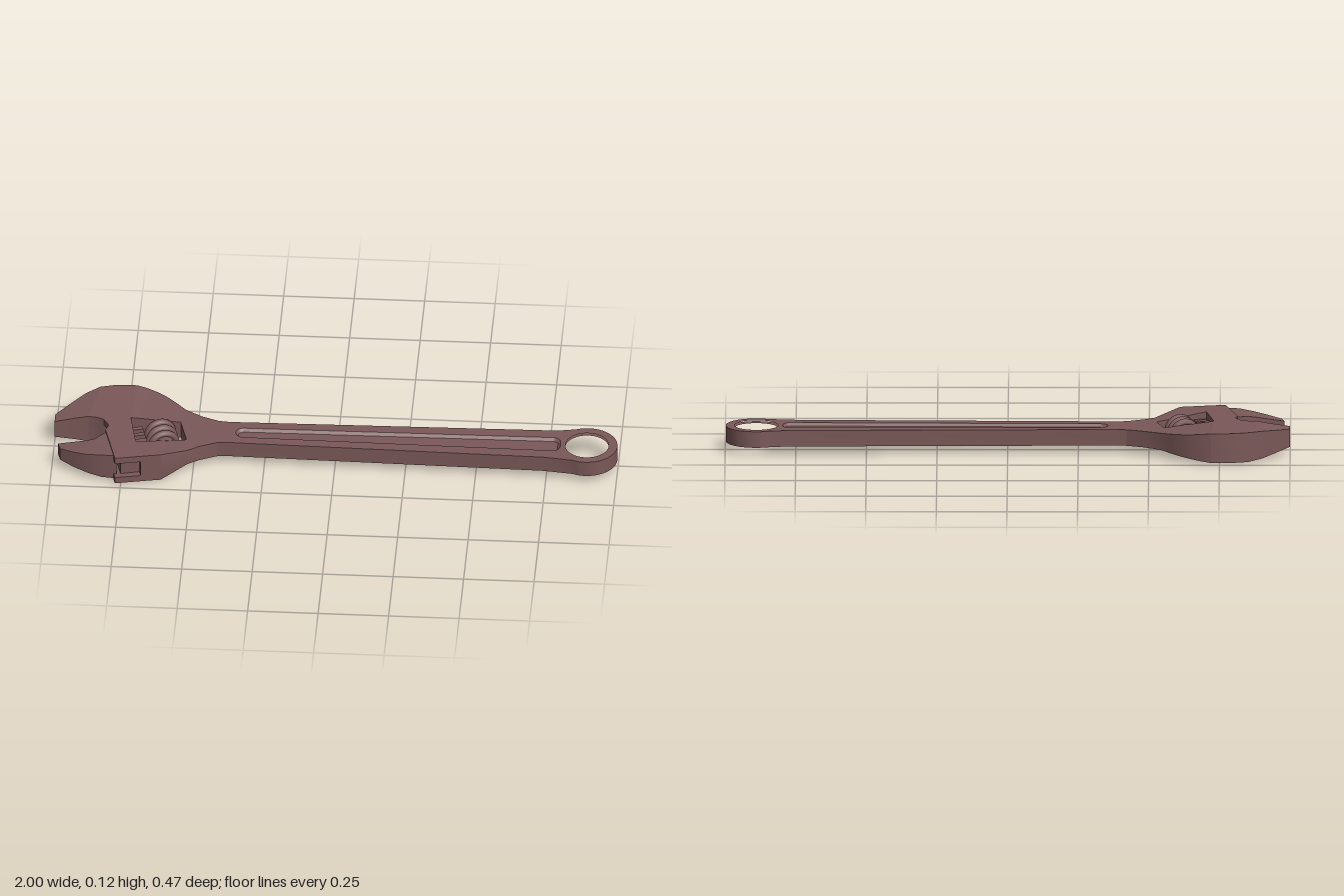
import * as THREE from 'three';
import { toCreasedNormals } from 'three/addons/utils/BufferGeometryUtils.js';

const MID = 0.058; // height of the middle plane
const THIN = 0.029, THICK = 0.053; // half thickness of handle and head
const material = new THREE.MeshStandardMaterial({ color: 0x7a5858 });
const openMaterial = new THREE.MeshStandardMaterial({ color: 0x7a5858, side: THREE.DoubleSide });

const toVec = ([x, z]) => new THREE.Vector2(x, -z);
const clamp = (t) => Math.min(1, Math.max(0, t));

function add(parent, name, geometry, mat = material) {
  const mesh = new THREE.Mesh(geometry, mat);
  mesh.name = name;
  parent.add(mesh);
  return mesh;
}

// Plate from a plan outline of [x, z]; bottom and top are functions of x and z
function plate(points, bottom, top, holes = []) {
  const shape = new THREE.Shape(points.map(toVec));
  holes.forEach((h) => shape.holes.push(new THREE.Path(h.map(toVec))));
  const geo = new THREE.ExtrudeGeometry(shape, { depth: 1, bevelEnabled: false });
  geo.rotateX(-Math.PI / 2);
  const p = geo.attributes.position;
  for (let i = 0; i < p.count; i++) {
    const f = p.getY(i) > 0.5 ? top : bottom;
    p.setY(i, f(p.getX(i), p.getZ(i)));
  }
  return toCreasedNormals(geo, 0.5);
}
const level = (y) => () => y;
const mirrored = (points, half, holes) =>
  plate(points, (x, z) => MID - half(x, z), (x, z) => MID + half(x, z), holes);

function arc(cx, cz, r, from, to, n) {
  return Array.from({ length: n + 1 }, (_, i) => {
    const a = from + ((to - from) * i) / n;
    return [cx + r * Math.cos(a), cz + r * Math.sin(a)];
  });
}

// Rounded groove outline on the handle
function grooveLoop(r) {
  const q = Math.PI / 2;
  return [
    ...arc(0.768, 0.018, r, 0, q, 5),
    ...arc(-0.328, 0.003, r, q, 2 * q, 5),
    ...arc(-0.328, 0.002, r, 2 * q, 3 * q, 5),
    ...arc(0.768, -0.008, r, 3 * q, 4 * q, 5),
  ];
}

function loft(loopA, yA, loopB, yB) {
  const pos = [], index = [], n = loopA.length;
  loopA.forEach(([x, z], i) => {
    pos.push(x, yA, z, loopB[i][0], yB, loopB[i][1]);
    const a = 2 * i, b = 2 * ((i + 1) % n);
    index.push(a, b, a + 1, b, b + 1, a + 1);
  });
  const geo = new THREE.BufferGeometry();
  geo.setAttribute('position', new THREE.Float32BufferAttribute(pos, 3));
  geo.setIndex(index);
  geo.computeVertexNormals();
  return geo;
}

function makeHandle() {
  const handle = new THREE.Group();
  handle.name = 'handle';
  const outline = [
    [-0.42, 0.072], [-0.42, -0.066], [-0.38, -0.062], [0.78, -0.081],
    ...arc(0.89, 0.005, 0.108, -2.0, 2.0, 32),
    [0.74, 0.09], [-0.38, 0.068],
  ];
  const eye = arc(0.89, 0.005, 0.077, 0, Math.PI * 2, 40).slice(0, -1);
  const floor = MID + THIN - 0.01;
  const outer = grooveLoop(0.028), inner = grooveLoop(0.018);
  add(handle, 'handleBody', plate(outline, level(MID - THIN), level(floor), [eye]));
  add(handle, 'handleRim', plate(outline, level(floor), level(MID + THIN), [eye, outer]));
  add(handle, 'grooveWall', loft(outer, MID + THIN, inner, floor), openMaterial);
  return handle;
}

function makeHead() {
  const head = new THREE.Group();
  head.name = 'head';
  const back = [[-0.85, -0.22], [-0.8, -0.234], [-0.75, -0.239], [-0.72, -0.237]];
  const throat = [[-0.825, -0.015], [-0.85, -0.026], [-0.88, -0.03]];

  // Cheeks above and below the jaw channel
  const cheek = [
    ...back, [-0.73, -0.032], [-0.703, 0.118], [-0.61, 0.197], [-0.65, 0.205],
    [-0.77, 0.23], [-0.815, 0.05], [-0.805, 0.02], ...throat,
  ];
  add(head, 'upperCheek', plate(cheek, level(MID + THIN), level(MID + THICK)));
  add(head, 'lowerCheek', plate(cheek, level(MID - THICK), level(MID - THIN)));

  // Solid core on either side of the channel
  add(head, 'headCore', mirrored([...back, [-0.73, -0.032], [-0.812, -0.012], ...throat], level(THIN)));
  add(head, 'channelEnd', mirrored([[-0.703, 0.118], [-0.61, 0.197], [-0.65, 0.205], [-0.68, 0.211]], level(THIN)));

  // Fixed jaw thins toward its tip
  const jawHalf = (x) => THREE.MathUtils.lerp(0.032, THICK, clamp((x + 1) / 0.12));
  add(head, 'fixedJaw', mirrored([
    [-0.85, -0.22], [-0.88, -0.03], [-0.93, -0.028], [-1, -0.02], [-1, -0.066],
    [-0.95, -0.125], [-0.9, -0.18],
  ], jawHalf));

  // Neck wraps the worm window and slopes down to the handle
  const neckHalf = (x, z) => {
    const crest = THREE.MathUtils.lerp(-0.72, -0.61, clamp((z + 0.03) / 0.22));
    return THREE.MathUtils.lerp(THIN, THICK, clamp((-0.53 - x) / (-0.53 - crest)));
  };
  add(head, 'neck', mirrored([
    [-0.72, -0.237], [-0.685, -0.229], [-0.645, -0.212], [-0.61, -0.19], [-0.575, -0.16],
    [-0.54, -0.126], [-0.48, -0.09], [-0.42, -0.066],
    [-0.42, 0.072], [-0.48, 0.1], [-0.52, 0.128], [-0.56, 0.16], [-0.61, 0.197],
    [-0.703, 0.118], [-0.527, 0.06], [-0.554, -0.045], [-0.73, -0.032],
  ], neckHalf));
  return head;
}

class Helix extends THREE.Curve {
  constructor(radius, length, turns) {
    super();
    Object.assign(this, { radius, length, turns });
  }
  getPoint(t, target = new THREE.Vector3()) {
    const a = t * this.turns * Math.PI * 2;
    return target.set(this.radius * Math.cos(a), this.radius * Math.sin(a), (t - 0.5) * this.length);
  }
}

// Movable jaw, its toothed stem and the worm screw
function makeSlider() {
  const slider = new THREE.Group();
  slider.name = 'adjuster';
  const half = (x) => THREE.MathUtils.lerp(0.022, 0.048, clamp((x + 0.98) / 0.17));
  add(slider, 'movableJaw', mirrored([
    [-0.8, 0.045], [-0.815, 0.06], [-0.85, 0.093], [-0.875, 0.1], [-0.98, 0.103], [-0.97, 0.137],
    [-0.92, 0.168], [-0.87, 0.19], [-0.82, 0.202], [-0.765, 0.206],
  ], half));

  // Frame whose z axis follows the sliding direction
  const slide = new THREE.Group();
  slide.name = 'slideParts';
  slide.position.set(-0.63, MID, 0.03);
  slide.rotation.y = 0.243;
  slider.add(slide);

  add(slide, 'jawStem', new THREE.BoxGeometry(0.068, 0.056, 0.22)).position.set(-0.126, 0, 0.03);
  for (let i = 0; i < 4; i++) {
    add(slide, 'rackTooth', new THREE.BoxGeometry(0.05, 0.056, 0.018))
      .position.set(-0.07, 0, -0.05 + i * 0.038);
  }

  const core = new THREE.CylinderGeometry(0.04, 0.04, 0.125, 24).rotateX(Math.PI / 2);
  add(slide, 'wormCore', core).position.x = 0.015;
  const thread = new THREE.TubeGeometry(new Helix(0.046, 0.11, 3), 120, 0.0125, 8, false);
  add(slide, 'wormThread', thread, openMaterial).position.x = 0.015;
  const pin = new THREE.CylinderGeometry(0.015, 0.015, 0.17, 12).rotateX(Math.PI / 2);
  add(slide, 'wormPin', pin).position.x = 0.015;
  return slider;
}

export function createModel() {
  const wrench = new THREE.Group();
  wrench.name = 'adjustableWrench';
  wrench.add(makeHandle(), makeHead(), makeSlider());
  return wrench;
}
